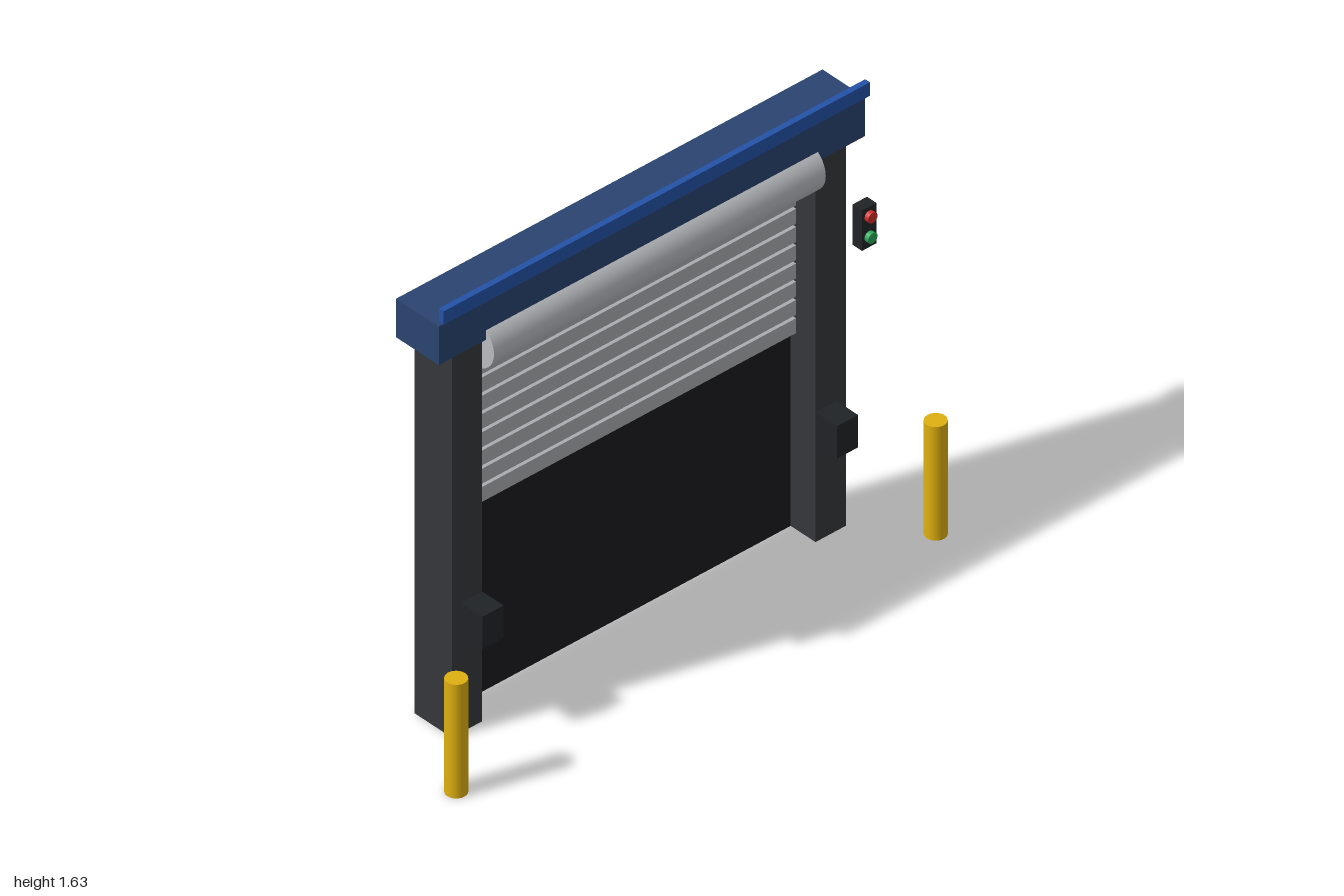
import * as THREE from 'three';

const mat = (color) => new THREE.MeshStandardMaterial({ color });

export function createModel() {
  const model = new THREE.Group();
  const frameMat = mat(0x34373b), panelMat = mat(0x1a1b1e), boxMat = mat(0x202326);
  const headerMat = mat(0x2a4470), trimMat = mat(0x2452a8), slatMat = mat(0xa9acb0);
  const rollMat = mat(0xb9bcc0), bollardMat = mat(0xdfb010);

  const add = (name, geometry, material, x, y, z) => {
    const mesh = new THREE.Mesh(geometry, material);
    mesh.name = name;
    mesh.position.set(x, y, z);
    model.add(mesh);
    return mesh;
  };

  // Box given by its limits on each axis
  const box = (name, material, [x0, x1], [y0, y1], [z0, z1]) =>
    add(name, new THREE.BoxGeometry(x1 - x0, y1 - y0, z1 - z0), material,
      (x0 + x1) / 2, (y0 + y1) / 2, (z0 + z1) / 2);

  // Posts, sensor boxes and bollards, mirrored on both sides
  for (const [side, s] of [['left', 1], ['right', -1]]) {
    const span = (a, b) => (s > 0 ? [a, b] : [-b, -a]);
    box(side + 'Post', frameMat, span(0.67, 0.792), [0, 1.42], [-0.2, -0.035]);
    box(side + 'SensorBox', boxMat, span(0.67, 0.755), [0.36, 0.48], [-0.045, 0.06]);
    add(side + 'Bollard', new THREE.CylinderGeometry(0.036, 0.036, 0.42, 24),
      bollardMat, s * 0.964, 0.21, 0.174);
  }

  // Dark opening behind the shutter
  box('openingPanel', panelMat, [-0.67, 0.67], [0, 1.42], [-0.17, -0.145]);

  // Header beam and the bright trim strip above it
  box('header', headerMat, [-0.857, 0.857], [1.417, 1.56], [-0.21, -0.021]);
  box('trimStrip', trimMat, [-0.857, 0.857], [1.577, 1.627], [-0.021, 0]);

  // Rolled-up curtain
  const roll = add('shutterRoll', new THREE.CylinderGeometry(0.088, 0.088, 1.334, 40),
    rollMat, 0, 1.382, -0.074);
  roll.rotation.z = Math.PI / 2;

  // Curtain slats hanging from the roll, with narrow gaps
  for (let i = 0; i < 9; i++) {
    const y = 0.737 + i * 0.0675;
    box('slat' + (i + 1), slatMat, [-0.66, 0.66], [y, y + 0.055], [-0.135, -0.11]);
  }

  // Signal box with red and green lamps
  box('signalBox', boxMat, [0.828, 0.886], [1.016, 1.165], [-0.045, -0.003]);
  for (const [name, color, y] of [['redLamp', 0xd02a2a, 1.132], ['greenLamp', 0x28a858, 1.057]]) {
    const lamp = add(name, new THREE.CylinderGeometry(0.019, 0.019, 0.02, 20), mat(color), 0.857, y, 0.003);
    lamp.rotation.x = Math.PI / 2;
  }

  return model;
}
